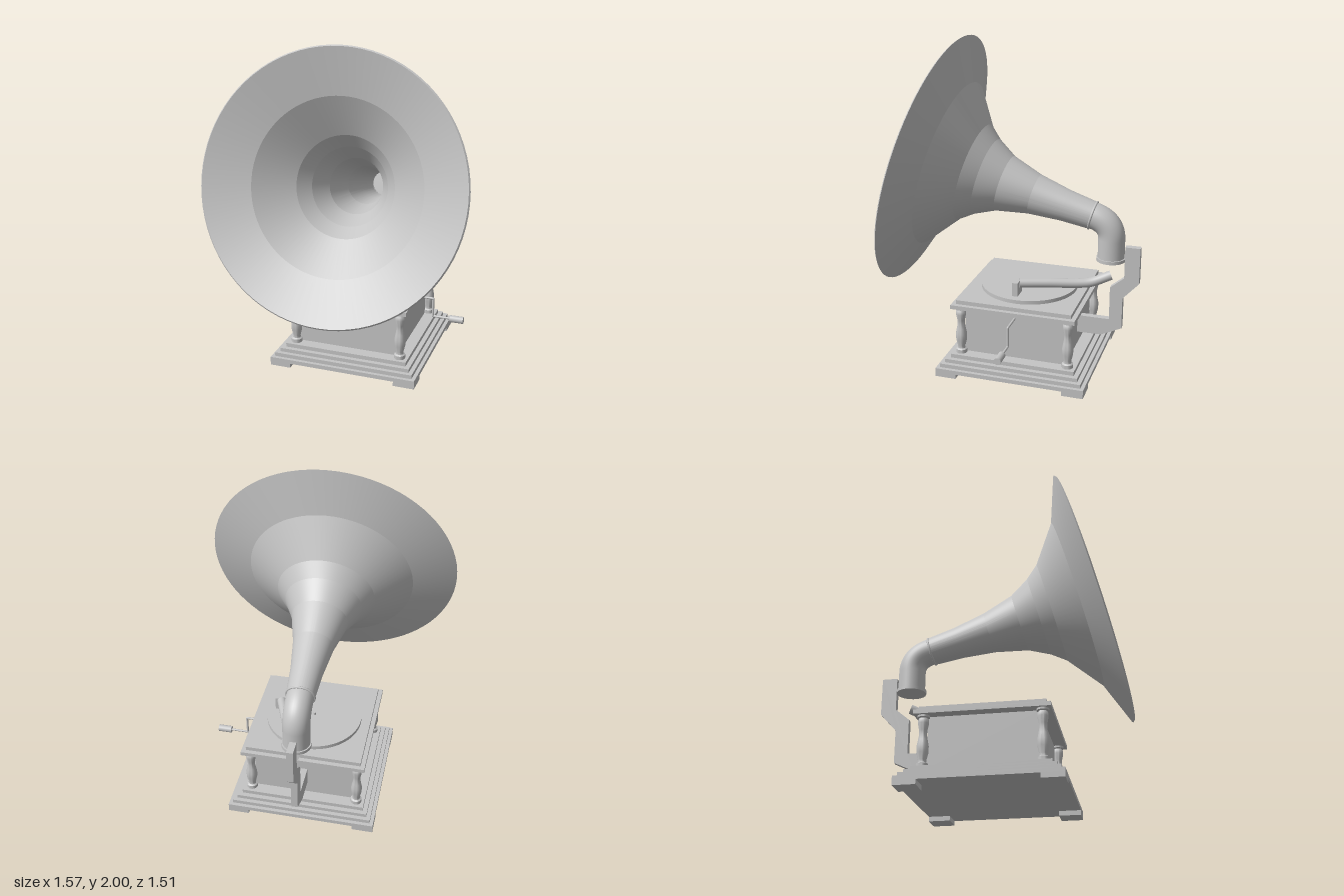
import * as THREE from 'three';
import { toCreasedNormals } from 'three/addons/utils/BufferGeometryUtils.js';

const grey = new THREE.MeshStandardMaterial({ color: 0xc4c4c4 });
grey.name = 'plain grey';

const CZ = -0.065; // centre of the cabinet in z
const V3 = (x, y, z) => new THREE.Vector3(x, y, z);

export function createModel() {
  const model = new THREE.Group();
  model.name = 'hornRecordPlayer';

  const add = (name, geometry, x = 0, y = 0, z = 0, parent = model) => {
    const mesh = new THREE.Mesh(geometry, grey);
    mesh.name = name;
    mesh.position.set(x, y, z);
    parent.add(mesh);
    return mesh;
  };
  // Square slab given by half width and its bottom and top heights
  const slab = (name, half, y0, y1) =>
    add(name, new THREE.BoxGeometry(2 * half, y1 - y0, 2 * half), 0, (y0 + y1) / 2, CZ);
  const lathe = (points, segments, crease) =>
    toCreasedNormals(new THREE.LatheGeometry(points.map(p => new THREE.Vector2(...p)), segments), crease);
  // Straight rod between two points
  const rod = (name, a, b, radius, parent) => {
    const mesh = add(name, new THREE.CylinderGeometry(radius, radius, a.distanceTo(b), 16), 0, 0, 0, parent);
    mesh.position.copy(a).add(b).multiplyScalar(0.5);
    mesh.quaternion.setFromUnitVectors(V3(0, 1, 0), b.clone().sub(a).normalize());
    return mesh;
  };
  // Round tube with flat ends
  const cappedTube = (name, curve, radius) => {
    const group = new THREE.Group();
    group.name = name;
    model.add(group);
    add(name + 'Wall', new THREE.TubeGeometry(curve, 32, radius, 32), 0, 0, 0, group);
    for (const [t, sign] of [[0, -1], [1, 1]]) {
      const p = curve.getPointAt(t);
      const cap = add(name + 'End', new THREE.CircleGeometry(radius, 32), p.x, p.y, p.z, group);
      cap.quaternion.setFromUnitVectors(V3(0, 0, 1), curve.getTangentAt(t).multiplyScalar(sign).normalize());
    }
  };

  // Stepped plinth, cabinet and stepped lid
  slab('plinthBottom', 0.462, 0.028, 0.053);
  slab('plinthStepLow', 0.44, 0.053, 0.077);
  slab('plinthStepMiddle', 0.415, 0.077, 0.1);
  slab('plinthStepHigh', 0.387, 0.1, 0.125);
  slab('cabinet', 0.315, 0.125, 0.425);
  slab('lidLower', 0.385, 0.425, 0.45);
  slab('lidUpper', 0.358, 0.45, 0.475);

  // Feet and turned columns at the four corners
  const column = lathe([
    [0, 0.125], [0.034, 0.125], [0.034, 0.148], [0.024, 0.155], [0.023, 0.168], [0.033, 0.21],
    [0.034, 0.25], [0.027, 0.285], [0.022, 0.315], [0.023, 0.34], [0.031, 0.38], [0.03, 0.4],
    [0.024, 0.41], [0.035, 0.414], [0.035, 0.425], [0, 0.425],
  ], 24, 0.6);
  for (const sx of [-1, 1]) for (const sz of [-1, 1]) {
    add('foot', new THREE.BoxGeometry(0.13, 0.03, 0.13), sx * 0.397, 0.015, CZ + sz * 0.397);
    add('column', column, sx * 0.335, 0, CZ + sz * 0.335);
  }

  // Turntable with spindle
  add('turntable', new THREE.CylinderGeometry(0.3, 0.3, 0.023, 64), 0, 0.4865, CZ);
  add('spindle', new THREE.CylinderGeometry(0.008, 0.008, 0.02, 16), 0, 0.505, CZ);

  // Crank on the left side
  const crank = new THREE.Group();
  crank.name = 'crank';
  model.add(crank);
  const bends = [[0.3, 0.385], [0.45, 0.385], [0.45, 0.265], [0.57, 0.265]].map(([x, y]) => V3(x, y, CZ));
  for (let i = 0; i < 3; i++) rod('crankRod', bends[i], bends[i + 1], 0.007, crank);
  for (const p of bends.slice(1, 3)) add('crankJoint', new THREE.SphereGeometry(0.007, 16, 8), p.x, p.y, p.z, crank);
  rod('crankHandle', V3(0.56, 0.265, CZ), V3(0.645, 0.265, CZ), 0.022, crank);

  // Rear bracket, profile in z and y
  const outline = [
    [-0.375, 0.205], [-0.53, 0.207], [-0.657, 0.267], [-0.657, 0.467], [-0.754, 0.573], [-0.754, 0.8],
    [-0.663, 0.8], [-0.663, 0.6], [-0.578, 0.53], [-0.578, 0.318], [-0.375, 0.318],
  ].map(p => new THREE.Vector2(...p));
  const bracket = new THREE.ExtrudeGeometry(new THREE.Shape(outline), { depth: 0.04, bevelEnabled: false });
  bracket.translate(0, 0, -0.02).rotateY(-Math.PI / 2);
  add('rearBracket', bracket);

  // Elbow pipe leading into the horn
  const throat = V3(0, 0.975, -0.457);
  const elbow = new THREE.CurvePath();
  elbow.add(new THREE.LineCurve3(V3(0, 0.705, -0.575), V3(0, 0.84, -0.575)));
  elbow.add(new THREE.QuadraticBezierCurve3(V3(0, 0.84, -0.575), V3(0, 0.943, -0.575), throat));
  cappedTube('elbow', elbow, 0.081);
  add('elbowFlange', new THREE.CylinderGeometry(0.089, 0.089, 0.02, 48), 0, 0.713, -0.575);

  // Flared horn: outer skin, rim, then inner skin
  const outer = [[0.085, 0], [0.097, 0.175], [0.125, 0.376], [0.176, 0.571], [0.242, 0.693],
    [0.308, 0.776], [0.522, 0.939], [0.786, 1.038]];
  const inner = outer.map(([r, t]) => [r - 0.008, t + 0.008]).reverse();
  const horn = new THREE.Group();
  horn.name = 'horn';
  horn.position.copy(throat);
  horn.rotation.x = 1.307;
  model.add(horn);
  add('hornBell', lathe([...outer, ...inner], 80, 0.11), 0, 0, 0, horn);
  const collar = new THREE.TorusGeometry(0.083, 0.007, 12, 48).rotateX(Math.PI / 2);
  add('hornCollar', collar, 0, 0, 0, horn);

  // Tone arm with sound box
  cappedTube('toneArm', new THREE.CatmullRomCurve3([
    V3(0.212, 0.575, -0.065), V3(0.15, 0.57, -0.225), V3(0.082, 0.562, -0.4),
    V3(0.055, 0.567, -0.47), V3(0.012, 0.608, -0.58),
  ]), 0.029);
  add('soundBox', new THREE.BoxGeometry(0.095, 0.085, 0.036), 0.207, 0.543, -0.046);

  return model;
}
